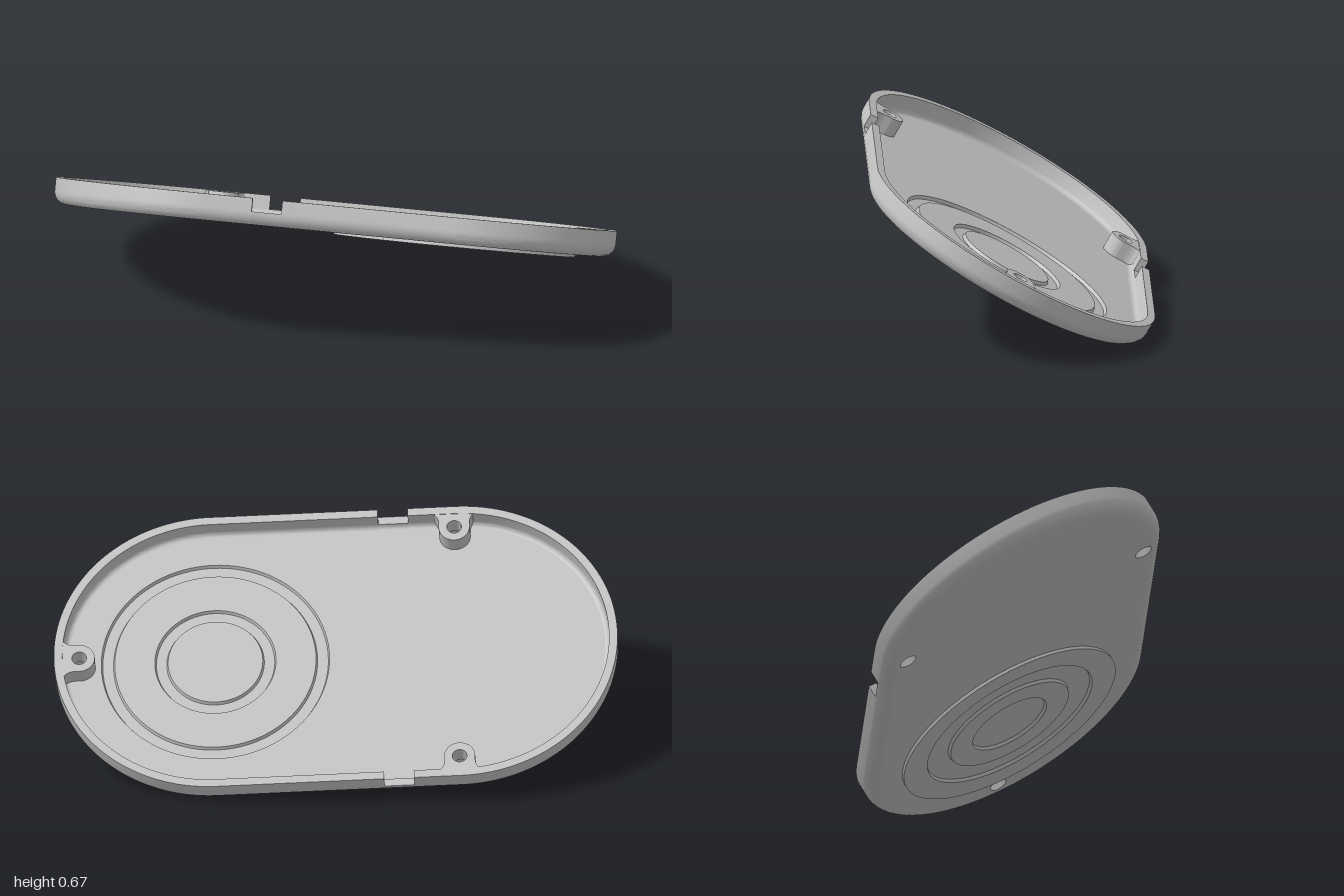
import * as THREE from 'three';
import { toCreasedNormals } from 'three/addons/utils/BufferGeometryUtils.js';

const R = 0.564, HALF = 0.436;         // stadium end radius and half spine length
const DEPTH = 0.095, FLOOR = 0.028, WALL = 0.03, FILLET = 0.047;
const NOTCH = [-0.266, -0.16], NOTCH_DEPTH = 0.05;
const SEG = 96;
const Q = Math.PI / 2;

// Closed wall section as [inset, height], from outer rim under the fillet to inner rim
function wallSection(top) {
  const p = [[0, top]];
  for (let i = 0; i <= 8; i++) {
    const a = (i / 8) * Q;
    p.push([FILLET * (1 - Math.cos(a)), FILLET * (1 - Math.sin(a))]);
  }
  const r = FILLET - WALL;
  for (let i = 5; i >= 0; i--) {
    const a = (i / 5) * Q;
    p.push([WALL + r * (1 - Math.cos(a)), FLOOR + r * (1 - Math.sin(a))]);
  }
  p.push([WALL, top]);
  return p;
}

// Sweep the section along stations [spine x, angle], with capped ends
function sweepWall(stations, top) {
  const section = wallSection(top), pos = [];
  const at = ([cx, a], [inset, y]) =>
    [cx + (R - inset) * Math.cos(a), y, (R - inset) * Math.sin(a)];
  for (let i = 0; i < stations.length - 1; i++) {
    for (let j = 0; j < section.length; j++) {
      const k = (j + 1) % section.length;
      const a = at(stations[i], section[j]), b = at(stations[i + 1], section[j]);
      const c = at(stations[i + 1], section[k]), d = at(stations[i], section[k]);
      pos.push(...a, ...d, ...c, ...a, ...c, ...b);
    }
  }
  const flat = section.map(([x, y]) => new THREE.Vector2(x, y));
  for (const tri of THREE.ShapeUtils.triangulateShape(flat, [])) {
    for (const s of [stations[0], stations[stations.length - 1]]) {
      for (const j of tri) pos.push(...at(s, section[j]));
    }
  }
  const g = new THREE.BufferGeometry();
  g.setAttribute('position', new THREE.Float32BufferAttribute(pos, 3));
  return toCreasedNormals(g, 0.6);
}

function halfTurn(cx, from) {
  return Array.from({ length: SEG + 1 }, (_, i) => [cx, from - (i / SEG) * Math.PI]);
}

function circleHole(x, y, r) {
  return new THREE.Path().absarc(x, y, r, 0, Math.PI * 2, true);
}

// Extrude a plan shape upward between two heights
function slab(shape, y0, y1) {
  const g = new THREE.ExtrudeGeometry(shape, {
    depth: y1 - y0, bevelEnabled: false, curveSegments: SEG / 2
  });
  g.rotateX(-Q);
  g.translate(0, y0, 0);
  return toCreasedNormals(g, 0.6);
}

export function createModel() {
  const model = new THREE.Group();
  model.name = 'trayCover';
  const tray = new THREE.Group();
  tray.name = 'tiltedTray';
  const grey = new THREE.MeshStandardMaterial({ color: 0xc0c0c0, side: THREE.DoubleSide });
  grey.name = 'lightGrey';
  const add = (geometry, name) => {
    const mesh = new THREE.Mesh(geometry, grey);
    mesh.name = name;
    tray.add(mesh);
    return mesh;
  };

  // Rim wall in two runs, with a low sill across each notch
  const [n0, n1] = NOTCH;
  add(sweepWall([[n1, Q], ...halfTurn(HALF, Q), [n1, -Q]], DEPTH), 'leftWall');
  add(sweepWall([[n0, -Q], ...halfTurn(-HALF, -Q), [n0, -3 * Q]], DEPTH), 'rightWall');
  add(sweepWall([[n0, Q], [n1, Q]], DEPTH - NOTCH_DEPTH), 'frontNotchSill');
  add(sweepWall([[n1, -Q], [n0, -Q]], DEPTH - NOTCH_DEPTH), 'backNotchSill');

  // Screw posts: x, z, turn toward the wall
  const posts = [[-0.43, -0.48, 0], [-0.43, 0.48, Math.PI], [0.91, 0, -Q]];

  // Floor plate, open at the screws and the ringed disc
  const discX = 0.43, discR = 0.43, rf = R - FILLET;
  const floor = new THREE.Shape();
  floor.absarc(HALF, 0, rf, -Q, Q, false);
  floor.absarc(-HALF, 0, rf, Q, 3 * Q, false);
  floor.holes.push(circleHole(discX, 0, discR));
  for (const [x, z] of posts) floor.holes.push(circleHole(x, -z, 0.032));
  add(slab(floor, 0, FLOOR), 'floor');

  // Disc with two pressed rings: raised below, grooved above
  const h = 0.012, t = FLOOR;
  const profile = [
    [0, 0], [0.146, 0], [0.15, -h], [0.24, -h], [0.244, 0],
    [0.331, 0], [0.335, -h], [discR, -h], [discR, t],
    [0.405, t], [0.4, t - h], [0.362, t - h], [0.357, t],
    [0.215, t], [0.21, t - h], [0.173, t - h], [0.168, t], [0, t]
  ].map(([x, y]) => new THREE.Vector2(x, y));
  const disc = toCreasedNormals(new THREE.LatheGeometry(profile, SEG).toNonIndexed(), 0.6);
  add(disc, 'ringedDisc').position.x = discX;

  // Screw posts flared into the wall
  const b = 0.055;
  const post = new THREE.Shape();
  post.moveTo(-0.085, 0.062);
  post.quadraticCurveTo(-0.05, 0.05, -b, 0);
  post.absarc(0, 0, b, Math.PI, Math.PI * 2, false);
  post.quadraticCurveTo(0.05, 0.05, 0.085, 0.062);
  post.closePath();
  post.holes.push(circleHole(0, 0, 0.026));
  const postGeometry = slab(post, FLOOR, DEPTH - 0.002);
  for (const [x, z, turn] of posts) {
    const mesh = add(postGeometry, 'screwPost');
    mesh.position.set(x, 0, z);
    mesh.rotation.y = turn;
  }

  // Lean the tray, then centre it and rest it on the ground
  tray.rotation.set(-0.51, 0.006, -0.055, 'ZYX');
  model.add(tray);
  model.updateMatrixWorld(true);
  const box = new THREE.Box3().setFromObject(model, true);
  const c = box.getCenter(new THREE.Vector3());
  tray.position.set(-c.x, -box.min.y, -c.z);
  return model;
}
